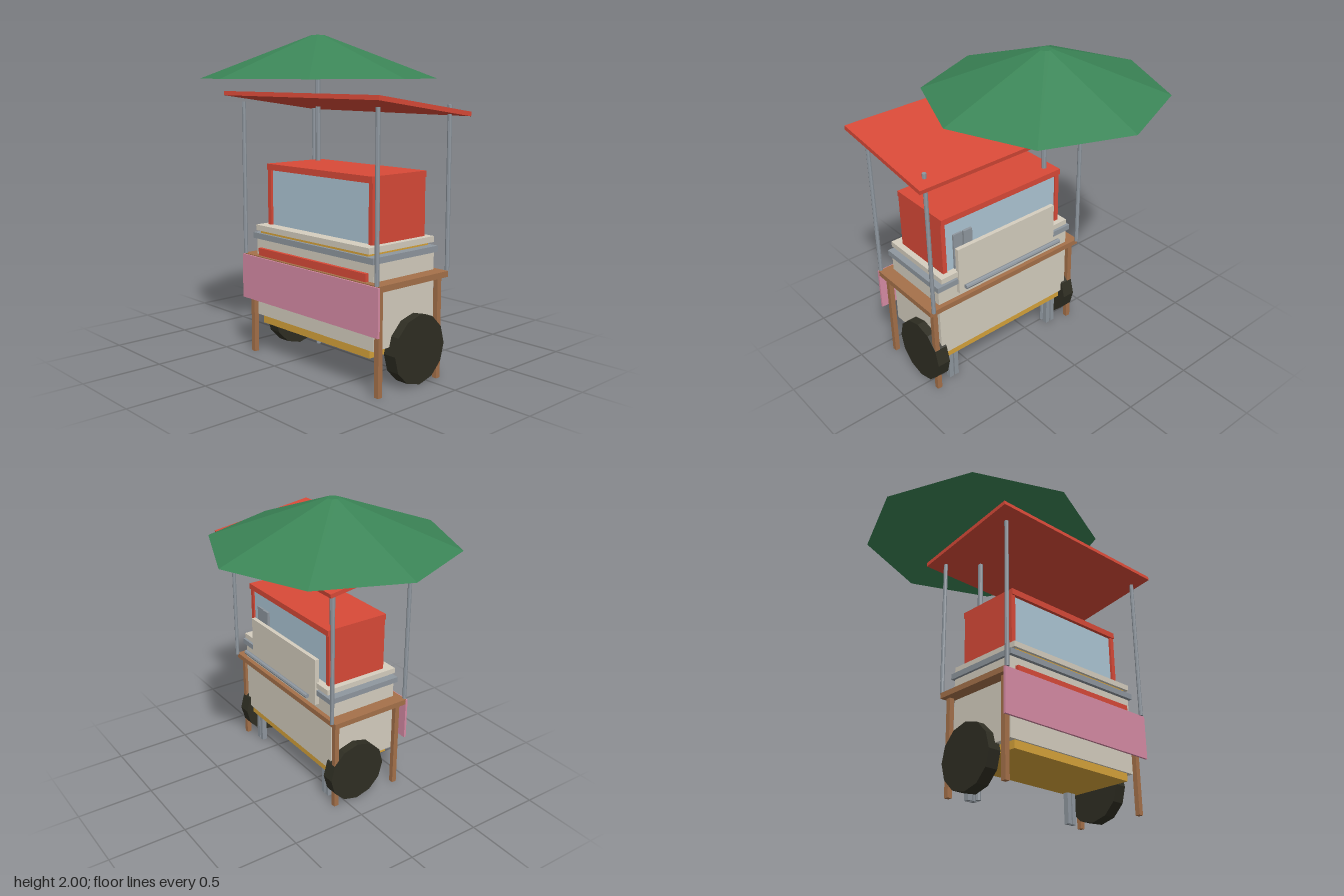
import * as THREE from 'three';

const COLORS = {
  canopyGreen: 0x3b8557, paintRed: 0xd94a38, clothPink: 0xd88ca6, panelCream: 0xd5cebf,
  glassBlue: 0xadc6d5, trimYellow: 0xd6a33a, metalGrey: 0x8f979f, woodBrown: 0xa5714a,
  tyreBlack: 0x2f2e23,
};

export function createModel() {
  const root = new THREE.Group();
  root.name = 'foodCart';
  const mats = {};
  for (const [name, color] of Object.entries(COLORS)) {
    mats[name] = new THREE.MeshStandardMaterial({ color });
    mats[name].name = name;
  }

  const add = (name, geometry, mat) => {
    const mesh = new THREE.Mesh(geometry, mats[mat]);
    mesh.name = name;
    root.add(mesh);
    return mesh;
  };
  // Box given by its limits on each axis
  const box = (name, mat, [x0, x1], [y0, y1], [z0, z1]) => {
    const mesh = add(name, new THREE.BoxGeometry(x1 - x0, y1 - y0, z1 - z0), mat);
    mesh.position.set((x0 + x1) / 2, (y0 + y1) / 2, (z0 + z1) / 2);
    return mesh;
  };
  // Faceted cylinder, upright by default
  const faceted = (name, mat, rTop, rBottom, height, sides, x, y, z) => {
    const geo = new THREE.CylinderGeometry(rTop, rBottom, height, sides).toNonIndexed();
    geo.computeVertexNormals();
    const mesh = add(name, geo, mat);
    mesh.position.set(x, y, z);
    return mesh;
  };
  const CX = 0.235; // middle of the cart
  const span = (half) => [CX - half, CX + half];

  // Parasol
  faceted('parasolCanopy', 'canopyGreen', 0.04, 0.75, 0.27, 8, -0.16, 1.865, 0);
  faceted('parasolPole', 'metalGrey', 0.016, 0.016, 1.8, 8, -0.16, 0.9, 0);

  // Sloping roof on four poles
  const roof = box('roof', 'paintRed', span(0.671), [1.576, 1.602], [-0.212, 0.532]);
  roof.rotation.x = -0.142;
  for (const x of [-0.345, 0.818]) {
    for (const z of [-0.127, 0.445]) faceted('roofPole', 'metalGrey', 0.013, 0.013, 0.95, 8, x, 1.115, z);
  }

  // Cart body and stacked counter
  box('base', 'trimYellow', span(0.475), [0.2, 0.25], [-0.075, 0.39]);
  box('body', 'panelCream', span(0.516), [0.25, 0.74], [-0.087, 0.402]);
  box('counterRim', 'metalGrey', span(0.53), [0.742, 0.778], [-0.105, 0.423]);
  box('counterTrim', 'trimYellow', span(0.475), [0.778, 0.795], [-0.08, 0.405]);
  box('counterTop', 'panelCream', span(0.5), [0.795, 0.83], [-0.105, 0.423]);
  box('frontStrip', 'paintRed', span(0.475), [0.56, 0.685], [0.4, 0.425]);

  // Table around the body, with legs and a cloth panel
  box('tableTop', 'woodBrown', span(0.6), [0.604, 0.639], [-0.116, 0.445]);
  box('clothPanel', 'clothPink', span(0.602), [0.355, 0.634], [0.44, 0.455]);

  // Glass cabinet
  box('cabinetGlass', 'glassBlue', span(0.43), [0.83, 1.172], [-0.058, 0.342]);
  box('cabinetLid', 'paintRed', span(0.46), [1.172, 1.21], [-0.078, 0.365]);

  // Parts mirrored about the cart's middle
  for (const s of [-1, 1]) {
    box('cabinetSide', 'paintRed', [CX + s * 0.445 - 0.015, CX + s * 0.445 + 0.015], [0.83, 1.172], [-0.068, 0.358]);
    const wheel = faceted('wheel', 'tyreBlack', 0.205, 0.205, 0.086, 12, CX + s * 0.529, 0.207, 0.083);
    wheel.rotation.z = Math.PI / 2;
    for (const z of [-0.079, 0.4]) {
      const x = CX + s * 0.553;
      box('tableLeg', 'woodBrown', [x - 0.016, x + 0.016], [0, 0.604], [z - 0.016, z + 0.016]);
    }
    for (const d of [0.395, 0.435]) {
      const x = CX + s * d;
      box('standLeg', 'metalGrey', [x - 0.015, x + 0.015], [0, 0.2], [-0.06, -0.025]);
    }
  }

  // Back of the cart: hatch plates, serving board and handle
  box('hatchPlateOuter', 'metalGrey', [0.545, 0.61], [0.83, 1.07], [-0.07, -0.058]);
  box('hatchPlateInner', 'metalGrey', [0.475, 0.538], [0.83, 1.07], [-0.076, -0.058]);
  box('backBoard', 'panelCream', span(0.38), [0.675, 0.99], [-0.115, -0.087]);
  const handle = faceted('pushHandle', 'metalGrey', 0.015, 0.015, 0.75, 8, CX, 0.755, -0.172);
  handle.rotation.z = Math.PI / 2;

  return root;
}
